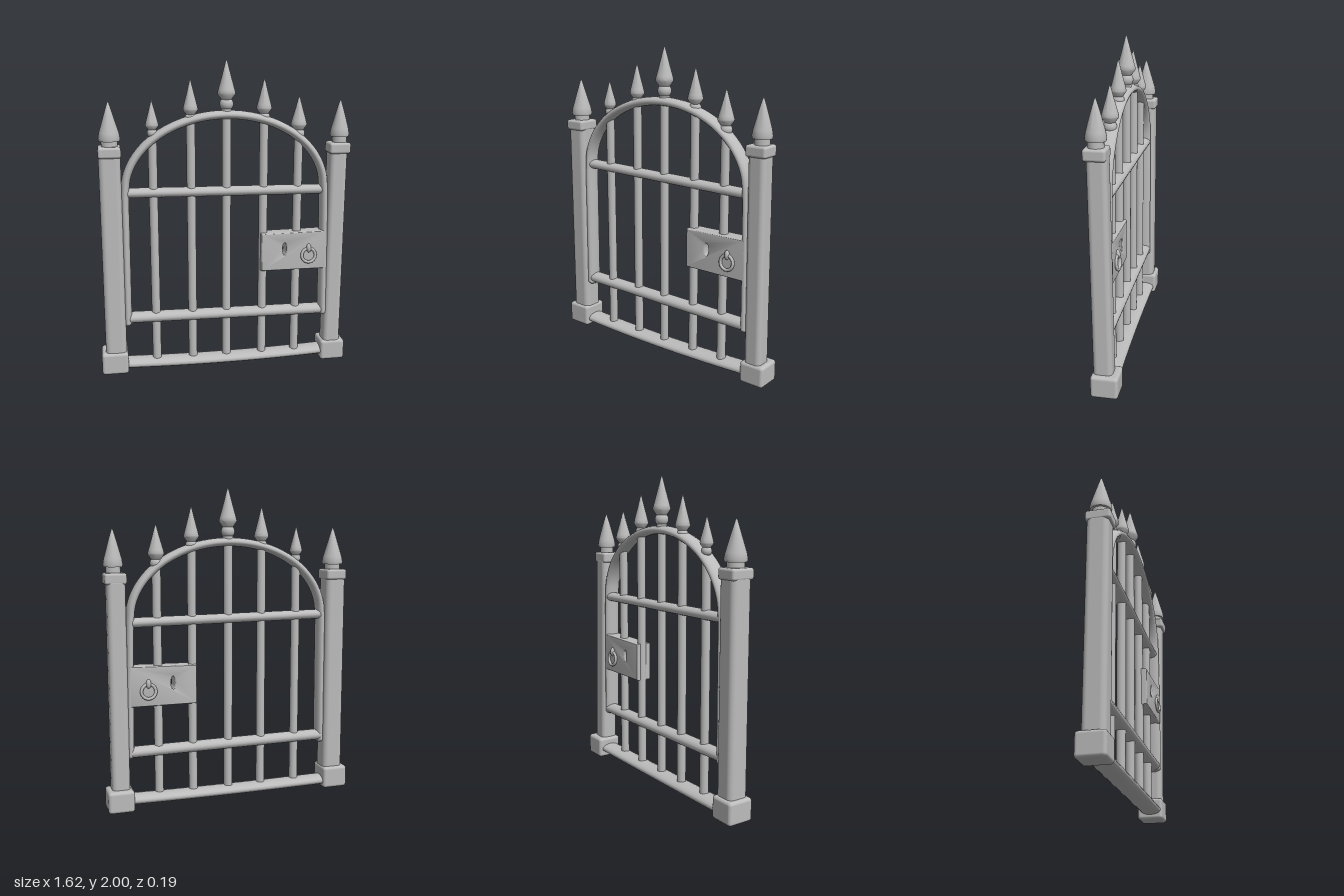
import * as THREE from 'three';
import { toCreasedNormals } from 'three/addons/utils/BufferGeometryUtils.js';
import { RoundedBoxGeometry } from 'three/addons/geometries/RoundedBoxGeometry.js';

const iron = new THREE.MeshStandardMaterial({ color: 0xbcbcbc });
iron.name = 'greyIron';

const V = (x, y, z) => new THREE.Vector3(x, y, z);

export function createModel() {
  const gate = new THREE.Group();
  gate.name = 'archedGate';

  const add = (name, geometry, x = 0, y = 0, z = 0, parent = gate) => {
    const mesh = new THREE.Mesh(geometry, iron);
    mesh.name = name;
    mesh.position.set(x, y, z);
    parent.add(mesh);
    return mesh;
  };

  // Rounded block spanning x0..x1, y0..y1, z0..z1, whose top may lean along z
  const block = (name, x0, x1, y0, y1, z0, z1, radius, lean = 0) => {
    const h = y1 - y0;
    const g = new RoundedBoxGeometry(x1 - x0, h, z1 - z0, 4, radius);
    const p = g.attributes.position;
    for (let i = 0; i < p.count; i++) p.setZ(i, p.getZ(i) + lean * (p.getY(i) / h + 0.5));
    add(name, g, (x0 + x1) / 2, (y0 + y1) / 2, (z0 + z1) / 2);
  };

  // Turned part from [radius, height] pairs
  const turned = (name, profile, x, y, z) => {
    const points = profile.map(([r, h]) => new THREE.Vector2(r, h));
    add(name, toCreasedNormals(new THREE.LatheGeometry(points, 24), 0.7), x, y, z);
  };

  // Round bar along a curve, stretched in depth, with rounded ends
  const sweptBar = (name, curve, radius, depth, z, steps) => {
    const group = new THREE.Group();
    group.name = name;
    group.position.z = z;
    group.scale.z = depth / radius;
    add(name + 'Tube', new THREE.TubeGeometry(curve, steps, radius, 16), 0, 0, 0, group);
    for (const t of [0, 1]) {
      const end = curve.getPoint(t);
      add(name + 'End', new THREE.SphereGeometry(radius, 16, 10), end.x, end.y, end.z, group);
    }
    gate.add(group);
  };

  // Posts with foot and cap; the left one leans slightly
  block('rightPostFoot', -0.815, -0.645, 0.01, 0.155, -0.08, 0.092, 0.02);
  block('rightPost', -0.788, -0.653, 0.08, 1.46, -0.058, 0.078, 0.034);
  block('rightPostCap', -0.79, -0.65, 1.42, 1.488, -0.065, 0.09, 0.016);
  block('leftPostFoot', 0.643, 0.808, 0, 0.138, -0.098, 0.068, 0.02);
  block('leftPost', 0.663, 0.777, 0.07, 1.45, -0.06, 0.056, 0.03, 0.025);
  block('leftPostCap', 0.655, 0.791, 1.414, 1.484, -0.035, 0.095, 0.016);

  // Post spearheads
  const postSpear = (name, x, z, r, tip) => turned(name, [
    [0, 1.45], [r * 0.76, 1.45], [r * 0.74, 1.52], [r * 0.95, 1.52], [r, 1.535],
    [r * 0.9, 1.57], [r * 0.45, 1.67], [r * 0.08, tip - 0.006], [0, tip]
  ], x, 0, z);
  postSpear('rightPostSpear', -0.717, 0.012, 0.068, 1.757);
  postSpear('leftPostSpear', 0.73, 0.03, 0.061, 1.75);

  // Arched frame: straight legs joined by a half ellipse
  const archTop = (x) => 1.2 + 0.467 * Math.sqrt(1 - (x / 0.635) ** 2);
  const archPoints = [V(-0.64, 0.345, 0), V(-0.638, 0.6, 0), V(-0.636, 0.95, 0)];
  for (let i = 0; i <= 16; i++) {
    const a = Math.PI * (1 - i / 16);
    archPoints.push(V(0.635 * Math.cos(a) + 0.002, 1.2 + 0.467 * Math.sin(a), 0));
  }
  archPoints.push(V(0.645, 0.95, 0), V(0.65, 0.6, 0), V(0.653, 0.345, 0));
  sweptBar('archFrame', new THREE.CatmullRomCurve3(archPoints), 0.027, 0.052, 0.014, 110);

  // Cross rails
  sweptBar('upperRail', new THREE.LineCurve3(V(-0.62, 1.192, 0), V(0.625, 1.178, 0)), 0.031, 0.045, 0.01, 2);
  sweptBar('lowerRail', new THREE.LineCurve3(V(-0.635, 0.37, 0), V(0.645, 0.358, 0)), 0.035, 0.05, 0.01, 2);
  sweptBar('bottomRail', new THREE.QuadraticBezierCurve3(
    V(-0.68, 0.058, 0), V(0, 0.04, 0.008), V(0.68, 0.062, -0.006)), 0.032, 0.068, 0.002, 20);

  // Upright bars, each with a collar bead and a spearhead above the arch
  const uprights = [
    [-0.456, 0.041, 1.612, 1.765], [-0.218, 0.047, 1.705, 1.885], [0.006, 0.057, 1.8, 2],
    [0.244, 0.048, 1.705, 1.885], [0.468, 0.051, 1.6, 1.775]
  ];
  for (const [x, r, wide, tip] of uprights) {
    const top = archTop(x);
    add('uprightBar', new THREE.CylinderGeometry(0.028, 0.028, top - 0.05, 20), x, (top + 0.05) / 2, 0.01);
    const bead = wide - r * 1.2;
    add('collarBead', new THREE.SphereGeometry(r * 0.76, 20, 14), x, bead, 0.01);
    add('spearNeck', new THREE.CylinderGeometry(r * 0.55, r * 0.6, bead - top + 0.02, 16), x, (bead + top) / 2, 0.01);
    turned('spearhead', [
      [0, wide - r * 0.75], [r * 0.55, wide - r * 0.75], [r * 0.97, wide - 0.008], [r, wide],
      [r * 0.9, wide + 0.02], [r * 0.42, wide + (tip - wide) * 0.6], [r * 0.08, tip - 0.006], [0, tip]
    ], x, 0, 0.01);
  }

  // Lock plate with a keyhole slot cut through
  const plate = new THREE.Shape();
  plate.moveTo(0.226, 0.655).lineTo(0.652, 0.655).lineTo(0.652, 0.91).lineTo(0.226, 0.903).closePath();
  const keyhole = new THREE.Path();
  keyhole.absellipse(0.38, 0.797, 0.013, 0.04, 0, Math.PI * 2, true);
  plate.holes.push(keyhole);
  const plateGeometry = new THREE.ExtrudeGeometry(plate, {
    depth: 0.086, bevelEnabled: true, bevelThickness: 0.01, bevelSize: 0.007,
    bevelOffset: -0.007, bevelSegments: 3, curveSegments: 24
  });
  add('lockPlate', toCreasedNormals(plateGeometry, 0.6), 0, 0, -0.029);

  // Ring handle on both faces, hung from a small knob
  for (const [side, faceZ] of [[1, 0.067], [-1, -0.039]]) {
    const ring = add('ringHandle', new THREE.TorusGeometry(0.045, 0.01, 10, 32), 0.538, 0.752, faceZ + side * 0.008);
    ring.rotation.x = side * -0.1;
    const knob = add('ringKnob', new THREE.SphereGeometry(0.02, 16, 12), 0.538, 0.8, faceZ + side * 0.006);
    knob.scale.set(0.8, 1.5, 0.8);
  }

  return gate;
}
